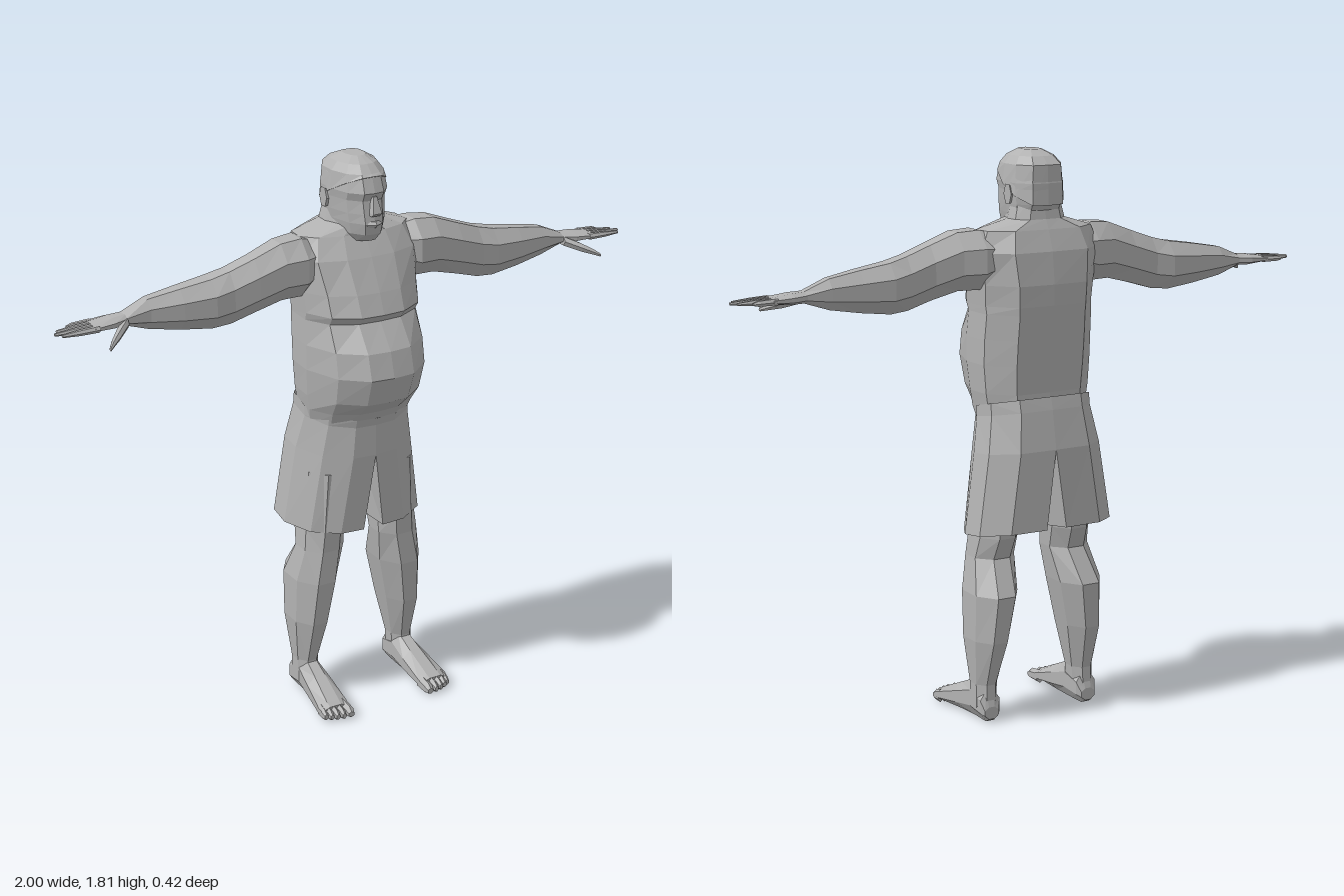
import * as THREE from 'three';

// Flat-shaded loft through rings of [x, y, z] points; the winding is fixed by signed volume
function loft(rings, { cap = true, side = 1 } = {}) {
  const loops = rings.map((r) => r.map(([x, y, z]) => new THREE.Vector3(x * side, y, z)));
  const n = loops[0].length;
  const tris = [];
  for (let i = 0; i < loops.length - 1; i++) {
    for (let j = 0; j < n; j++) {
      const k = (j + 1) % n;
      const a = loops[i][j], b = loops[i][k], c = loops[i + 1][k], d = loops[i + 1][j];
      tris.push([a, b, c], [a, c, d]);
    }
  }
  if (cap) {
    [loops[0], loops[loops.length - 1]].forEach((r, end) => {
      const mid = r.reduce((s, p) => s.add(p), new THREE.Vector3()).divideScalar(n);
      r.forEach((p, j) => {
        const q = r[(j + 1) % n];
        tris.push(end ? [p, q, mid] : [q, p, mid]);
      });
    });
  }
  const origin = loops[0][0];
  const volume = tris.reduce((sum, t) => {
    const [a, b, c] = t.map((p) => p.clone().sub(origin));
    return sum + a.dot(b.cross(c));
  }, 0);
  const geo = new THREE.BufferGeometry();
  geo.setFromPoints(tris.flatMap(([a, b, c]) => (volume < 0 ? [a, c, b] : [a, b, c])));
  geo.computeVertexNormals();
  return geo;
}

// Half body outline, front centre to back centre, from half width, side z, front z and back z;
// tilt slopes the ring along z and inner moves its middle away from x = 0
const OUT = [0, .38, .78, 1, .97, .6, 0];
const DEPTH = [1, .96, .62, 0, .55, .97, 1];
function outline([y, w, zc, zf, zb, tilt = 0, inner = 0]) {
  return OUT.map((u, i) => {
    const dz = DEPTH[i] * ((i < 3 ? zf : zb) - zc);
    return [inner + u * (w - inner), y + tilt * dz, zc + dz];
  });
}

// Full ring, mirrored from the half outline
function bodyRing(row) {
  const half = outline(row);
  const mirrored = half.slice(1, -1).reverse().map(([x, y, z]) => [-x, y, z]);
  return [...half, ...mirrored];
}

// Polygon rings for limbs: station = [t, aMin, aMax, bMin, bMax]; place maps (t, a, b) to a point
function limb(stations, place, sides = 8) {
  return stations.map(([t, a0, a1, b0, b1]) => Array.from({ length: sides }, (_, i) => {
    const ang = ((i + 0.5) / sides) * Math.PI * 2;
    const k = 0.5 / Math.cos(Math.PI / sides);
    return place(t, (a0 + a1) / 2 + (a1 - a0) * k * Math.cos(ang), (b0 + b1) / 2 + (b1 - b0) * k * Math.sin(ang));
  }));
}
const alongX = (t, a, b) => [t, a, b];
const alongY = (t, a, b) => [a, t, b];
const alongZ = (t, a, b) => [a, b, t];

export function createModel() {
  const model = new THREE.Group();
  const grey = new THREE.MeshStandardMaterial({ color: 0xb2b2b2, side: THREE.DoubleSide });
  grey.name = 'grey';
  const add = (name, rings, opts) => {
    const mesh = new THREE.Mesh(loft(rings, opts), grey);
    mesh.name = name;
    model.add(mesh);
  };

  // Torso with round belly, chest fold and neck
  add('torso', [
    [.95, .17, -.02, .085, -.16],
    [1.01, .182, 0, .12, -.165],
    [1.06, .19, 0, .178, -.165],
    [1.15, .197, .01, .21, -.172],
    [1.23, .197, .01, .187, -.18],
    [1.31, .194, 0, .125, -.188],
    [1.335, .196, .01, .147, -.19],
    [1.4, .2, 0, .12, -.192],
    [1.5, .215, -.02, .07, -.18],
    [1.565, .19, -.04, .03, -.155],
    [1.595, .09, -.06, .02, -.14],
    [1.66, .074, -.06, .01, -.13],
  ].map(bodyRing));

  // Head
  add('head', [
    [1.55, .046, 0, .063, -.05],
    [1.575, .07, -.03, .083, -.1],
    [1.61, .079, -.04, .09, -.13],
    [1.64, .083, -.04, .085, -.145],
    [1.68, .086, -.04, .078, -.153],
    [1.705, .088, -.03, .09, -.153],
    [1.75, .083, -.03, .073, -.142],
    [1.78, .06, -.03, .035, -.12],
  ].map(bodyRing));
  add('hair', [
    [1.7, .09, -.03, .078, -.155, .5],
    [1.76, .082, -.03, .068, -.15],
    [1.785, .063, -.03, .042, -.122],
    [1.803, .031, -.035, .005, -.08],
  ].map(bodyRing));
  add('nose', limb([
    [1.635, -.015, .015, .06, .095], [1.645, -.015, .015, .06, .107], [1.695, -.006, .006, .06, .09],
  ], alongY, 4));
  add('lips', limb([
    [1.598, -.02, .02, .05, .09], [1.608, -.026, .026, .05, .098], [1.618, -.02, .02, .05, .091],
  ], alongY, 6));

  // Paired parts, left then right
  for (const side of [1, -1]) {
    const label = side > 0 ? 'left' : 'right';
    const part = (name, rings, opts) => add(label + name, rings, { side, ...opts });

    part('Ear', limb([[.078, 1.645, 1.69, -.075, -.045], [.093, 1.64, 1.7, -.085, -.045]], alongX, 6));

    part('Arm', limb([
      [.14, 1.42, 1.55, -.13, .01],
      [.2, 1.385, 1.568, -.13, .04],
      [.27, 1.385, 1.563, -.112, .035],
      [.36, 1.362, 1.53, -.1, .028],
      [.44, 1.338, 1.502, -.1, .02],
      [.5, 1.333, 1.487, -.11, .02],
      [.6, 1.345, 1.472, -.1, .005],
      [.7, 1.362, 1.455, -.09, -.015],
      [.78, 1.388, 1.422, -.08, -.02],
    ], alongX));
    part('Palm', limb([
      [.77, 1.388, 1.423, -.08, -.02], [.82, 1.387, 1.42, -.09, -.005], [.885, 1.393, 1.412, -.088, 0],
    ], alongX));

    // Fingers from little to index, then the thumb
    [.945, .985, 1, .985].forEach((tip, i) => {
      const z = -.076 + i * .022;
      part('Finger' + (i + 1), limb([
        [.87, 1.393, 1.412, z - .011, z + .011],
        [.93, 1.393, 1.409, z - .009, z + .009],
        [tip, 1.396, 1.404, z - .005, z + .005],
      ], alongX, 6));
    });
    part('Thumb', limb([
      [.775, 1.385, 1.415, -.045, -.01],
      [.82, 1.368, 1.395, -.005, .03],
      [.85, 1.36, 1.378, .03, .053],
      [.867, 1.355, 1.365, .053, .066],
    ], alongX, 6));

    part('Leg', limb([
      [.8, .05, .19, -.13, .06],
      [.6, .063, .2, -.13, .055],
      [.53, .066, .207, -.102, .052],
      [.42, .08, .229, -.167, .055],
      [.27, .11, .23, -.153, .038],
      [.12, .14, .216, -.105, -.005],
      [.04, .145, .216, -.108, 0],
    ], alongY));
    part('Foot', limb([
      [-.113, .155, .205, .01, .05],
      [-.098, .144, .214, 0, .1],
      [-.03, .14, .215, 0, .125],
      [.05, .136, .226, 0, .09],
      [.15, .136, .24, 0, .046],
      [.168, .14, .236, .002, .038],
    ], alongZ));

    // Toes, the big one innermost
    [.15, .175, .195, .213, .229].forEach((x, i) => {
      const w = i ? .009 : .014;
      const tip = .205 - i * i * .0015;
      part('Toe' + (i + 1), limb([
        [.14, x - w, x + w, 0, .04],
        [tip - .015, x - w, x + w, 0, .033],
        [tip, x - w * .7, x + w * .7, .005, .022],
      ], alongZ, 6));
    });

    // Loose shorts: one open-ended half per leg, closed along the inner thigh
    part('ShortsHalf', [
      [1.015, .184, -.03, .108, -.173, -.23],
      [.98, .184, -.03, .1, -.183, -.18],
      [.87, .206, -.05, .1, -.205, -.1],
      [.615, .245, -.06, .085, -.21, -.12, .035],
    ].map((row) => [...outline(row), [(row[6] ?? 0) * .3, row[0], row[2]]]), { cap: false });
  }
  return model;
}
